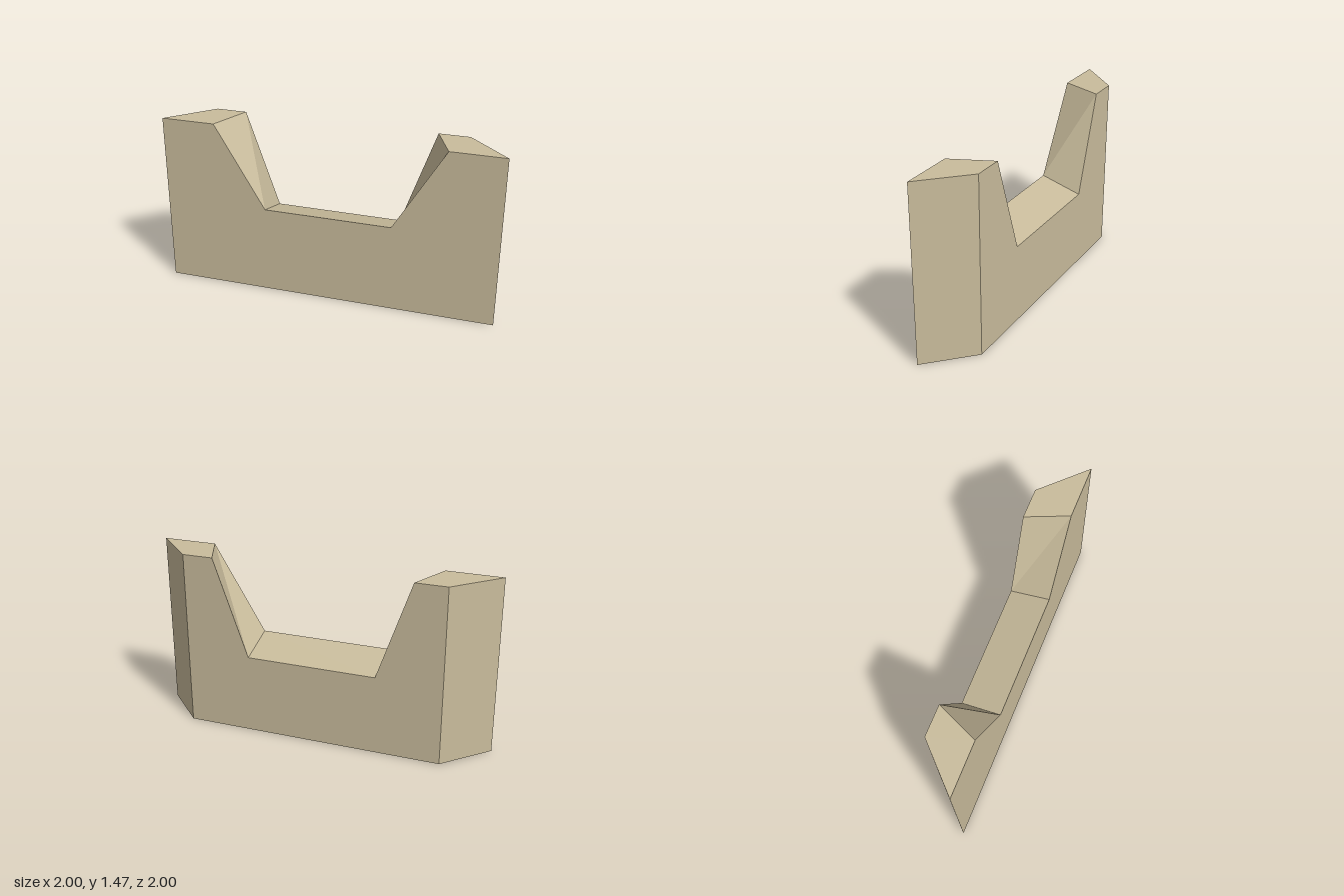
import * as THREE from 'three';

// Diagonal wall with a tapered notch, lofted between its two long faces
export function createModel() {
  const group = new THREE.Group();
  const stone = new THREE.MeshStandardMaterial({ color: 0xc9bc9c });
  stone.name = 'sandstone';

  // Matching outlines as [x, y], anticlockwise seen from the front
  const front = [[-1, 0], [1, 0], [1, 1.465], [0.68, 1.465], [0.38, 0.755], [-0.38, 0.755], [-0.68, 1.465], [-1, 1.465]]
    .map(([x, y]) => [x, y, x]);
  // The back face runs parallel, its notch narrower at the top and sloping down
  const back = [[-0.515, 0], [1, 0], [1, 1.465], [0.82, 1.465], [0.62, 0.655], [-0.135, 0.655], [-0.333, 1.465], [-0.515, 1.465]]
    .map(([x, y]) => [x, y, x - 0.485]);

  const positions = [];
  const quad = (a, b, c, d) => positions.push(...a, ...b, ...c, ...a, ...c, ...d);

  // Long faces: base panel and two uprights
  for (const [a, b, c, d] of [[0, 1, 4, 5], [1, 2, 3, 4], [0, 5, 6, 7]]) {
    quad(front[a], front[b], front[c], front[d]);
    quad(back[d], back[c], back[b], back[a]);
  }
  // Rim: underside, ends, tops and notch
  for (let i = 0; i < front.length; i++) {
    const j = (i + 1) % front.length;
    quad(front[i], back[i], back[j], front[j]);
  }

  const geometry = new THREE.BufferGeometry();
  geometry.setAttribute('position', new THREE.Float32BufferAttribute(positions, 3));
  geometry.computeVertexNormals();
  const wall = new THREE.Mesh(geometry, stone);
  wall.name = 'notchedWall';
  group.add(wall);
  return group;
}
